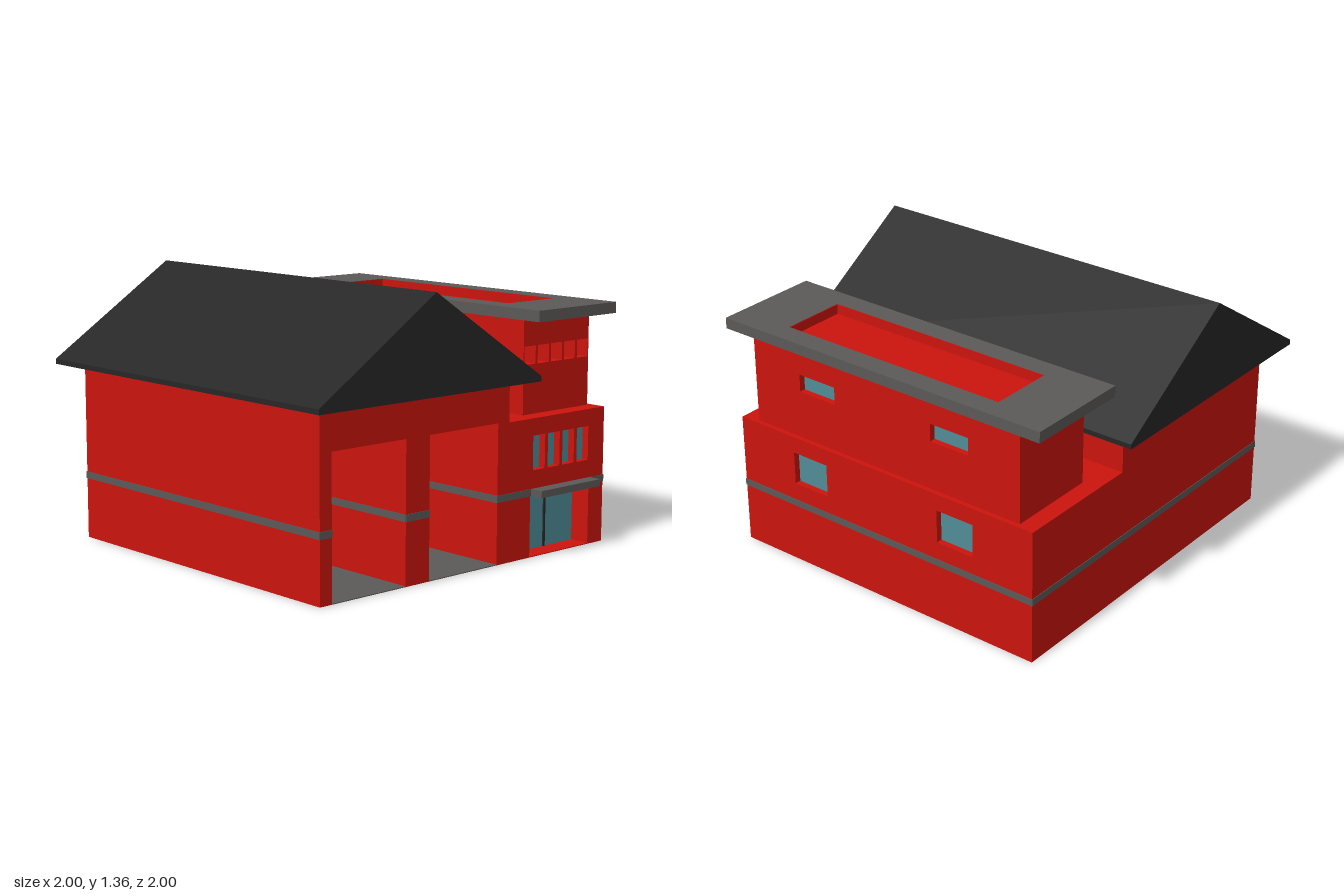
import * as THREE from 'three';

const mat = (color) => new THREE.MeshStandardMaterial({ color });
const RED = mat(0xcc140d), GREY = mat(0x5c5a58), DARK = mat(0x272727), GLASS = mat(0x508c96);

export function createModel() {
  const model = new THREE.Group();
  const add = (name, geo, material) => {
    const mesh = new THREE.Mesh(geo, material);
    mesh.name = name;
    model.add(mesh);
    return mesh;
  };

  // Box given by its limits on each axis
  const box = (name, material, x0, x1, y0, y1, z0, z1) =>
    add(name, new THREE.BoxGeometry(x1 - x0, y1 - y0, z1 - z0)
      .translate((x0 + x1) / 2, (y0 + y1) / 2, (z0 + z1) / 2), material);

  // Shape from outline points with rectangular holes [left, right, bottom, top]
  const shapeOf = (points, holes = []) => {
    const shape = new THREE.Shape(points.map(([a, b]) => new THREE.Vector2(a, b)));
    for (const [l, r, b, t] of holes) {
      shape.holes.push(new THREE.Path([[l, b], [l, t], [r, t], [r, b]].map((p) => new THREE.Vector2(...p))));
    }
    return shape;
  };
  const rect = (l, r, b, t) => [[l, b], [r, b], [r, t], [l, t]];

  // Slab across x; its outline is drawn in (u, y) with u = -z
  const slabX = (name, material, points, holes, x0, x1) =>
    add(name, new THREE.ExtrudeGeometry(shapeOf(points, holes), { depth: x1 - x0, bevelEnabled: false })
      .rotateY(Math.PI / 2).translate(x0, 0, 0), material);

  // Slab across z; its outline is drawn in (x, y)
  const slabZ = (name, material, points, holes, z0, z1) =>
    add(name, new THREE.ExtrudeGeometry(shapeOf(points, holes), { depth: z1 - z0, bevelEnabled: false })
      .translate(0, 0, z0), material);

  // Ground level openings as [start u, end u, height]
  const bay1 = [-0.83, -0.38, 0.69], bay2 = [-0.23, 0.22, 0.69], entry = [0.45, 0.875, 0.305];
  const bayEnds = [-0.61, -0.87];
  const sideWindows = [0.465, 0.57, 0.675, 0.78].map((u) => [u, u + 0.085, 0.43, 0.6]);
  const towerWindows = [0, 1, 2, 3, 4].map((i) => [0.49 + i * 0.095, 0.57 + i * 0.095, 0.93, 1.02]);
  const backWindows = [[-0.55, -0.34, 0.43, 0.6], [0.34, 0.55, 0.43, 0.6]];
  const towerBackWindows = [[-0.51, -0.29, 0.93, 1.02], [0.29, 0.51, 0.93, 1.02]];

  // Stepped side outline of hall and low wing, notched at the openings
  const profile = (back, openings) => {
    const pts = [[-0.9, 0]];
    for (const [a, b, h] of openings) pts.push([a, 0], [a, h], [b, h], [b, 0]);
    pts.push([back, 0], [back, 0.685], [0.295, 0.685], [0.295, 0.89], [-0.9, 0.89]);
    return pts;
  };

  // Hall and low wing, layered from the facade inwards
  slabX('facade', RED, profile(0.98, [bay1, bay2, entry]), sideWindows, 0.85, 0.89);
  slabX('entranceWall', RED, profile(0.98, [bay1, bay2, entry]), [], 0.78, 0.85);
  slabX('garageBody', RED, profile(0.945, [bay1, bay2]), [], bayEnds[0], 0.78);
  slabX('deepGarageBody', RED, profile(0.945, [bay2]), [], bayEnds[1], bayEnds[0]);
  slabX('farWall', RED, profile(0.945, []), [], -0.89, bayEnds[1]);
  slabZ('backWall', RED, rect(-0.89, 0.78, 0, 0.685), backWindows, -0.98, -0.945);

  // Upper storey
  slabX('towerSideWall', RED, rect(0.485, 0.955, 0.685, 1.155), towerWindows, 0.71, 0.8);
  box('towerBody', RED, -0.8, 0.71, 0.685, 1.155, -0.92, -0.485);
  slabZ('towerBackWall', RED, rect(-0.8, 0.71, 0.685, 1.155), towerBackWindows, -0.955, -0.92);

  // Window panes at the bottom of each recess
  for (const [a, b, y0, y1] of sideWindows) box('sideWindow', GLASS, 0.845, 0.853, y0, y1, -b, -a);
  for (const [a, b, y0, y1] of towerWindows) box('towerSideWindow', GLASS, 0.705, 0.713, y0, y1, -b, -a);
  for (const [a, b, y0, y1] of backWindows) box('backWindow', GLASS, a, b, y0, y1, -0.948, -0.94);
  for (const [a, b, y0, y1] of towerBackWindows) box('towerBackWindow', GLASS, a, b, y0, y1, -0.923, -0.915);

  // Entrance: glass doors, centre post, floor and canopy
  box('entranceDoors', GLASS, 0.77, 0.783, 0, 0.305, -0.875, -0.45);
  box('doorPost', DARK, 0.775, 0.79, 0, 0.305, -0.671, -0.659);
  box('entranceFloor', RED, 0.783, 0.89, 0, 0.004, -0.875, -0.45);
  box('canopy', GREY, 0.87, 0.96, 0.305, 0.34, -0.88, -0.455);

  // Grey stripe around the outside and into the garages
  const e = 0.003, stripe = (...xz) => box('stripe', GREY, xz[0], xz[1], 0.305, 0.34, xz[2], xz[3]);
  stripe(-0.89 - e, 0.89 + e, 0.9 - e, 0.9 + e);
  stripe(-0.89 - e, 0.89 + e, -0.98 - e, -0.98 + e);
  stripe(-0.89 - e, -0.89 + e, -0.98, 0.9);
  for (const [z0, z1] of [[0.83, 0.9], [0.23, 0.38], [-0.45, -0.22], [-0.98, -0.875]]) {
    stripe(0.89 - e, 0.89 + e, z0, z1);
  }
  [bay1, bay2].forEach(([a, b], i) => {
    const end = bayEnds[i];
    stripe(end, 0.89, -a - e, -a + e);
    stripe(end, 0.89, -b - e, -b + e);
    stripe(end - e, end + e, -b, -a);
    box('garageFloor', GREY, i ? -0.889 : end, 0.89, 0, 0.004, -b, -a);
  });

  // Gable roof of the hall
  slabX('gableRoof', DARK,
    [[-1, 0.885], [0.395, 0.885], [0.395, 0.91], [-0.305, 1.36], [-1, 0.91]], [], -1, 1);

  // Flat roof with a sunken red panel; drawn in (x, -z) and laid flat
  const flat = (name, material, points, hole, y0, y1) =>
    add(name, new THREE.ExtrudeGeometry(shapeOf(points, [hole]), { depth: y1 - y0, bevelEnabled: false })
      .rotateX(-Math.PI / 2).translate(0, y0, 0), material);
  flat('flatRoof', GREY, rect(-0.94, 0.935, 0.445, 1), [-0.63, 0.625, 0.555, 0.89], 1.155, 1.21);
  flat('roofWellLining', RED, rect(-0.63, 0.625, 0.555, 0.89), [-0.626, 0.621, 0.559, 0.886], 1.155, 1.209);
  box('roofWellFloor', RED, -0.63, 0.625, 1.15, 1.16, -0.89, -0.555);

  return model;
}
